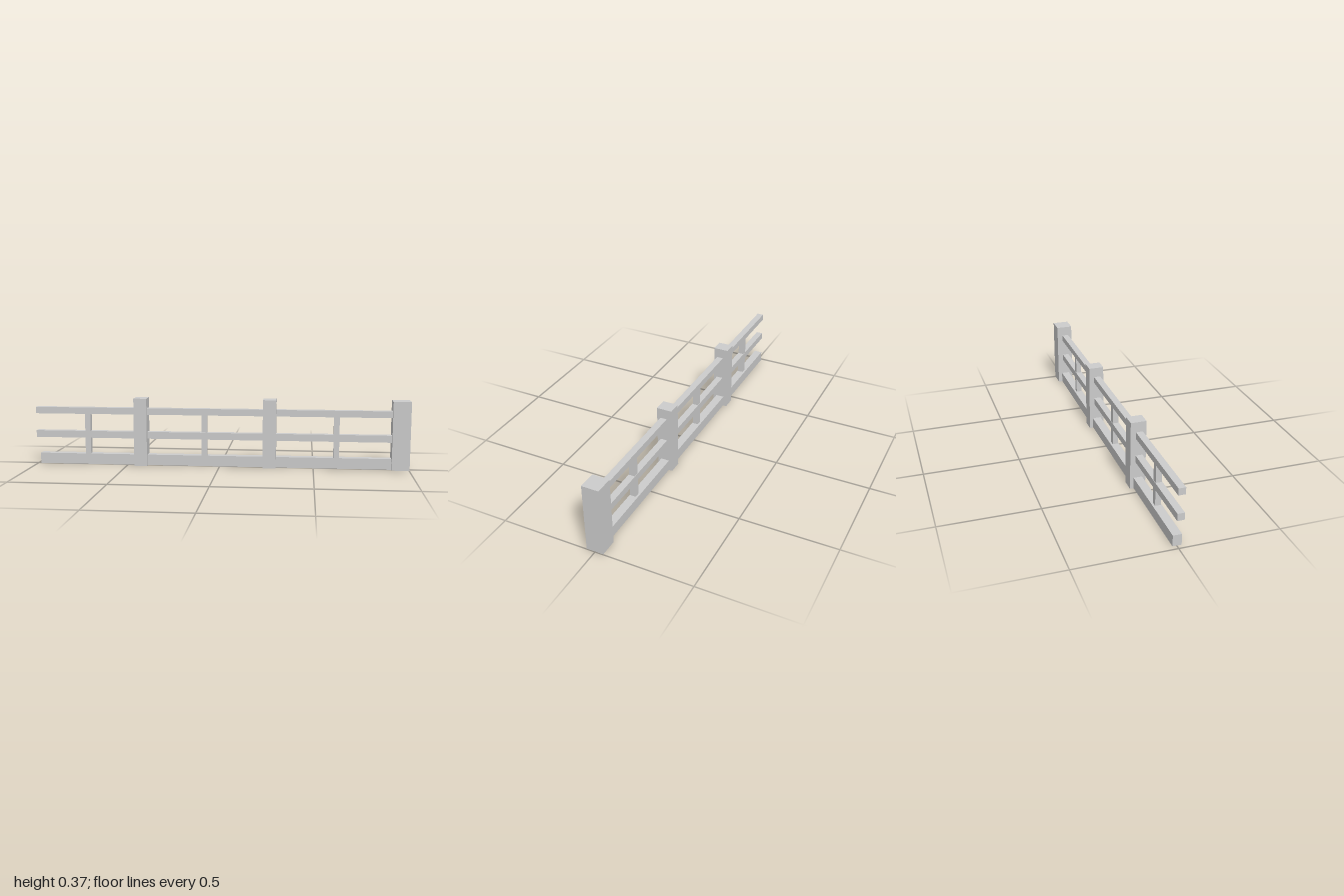
import * as THREE from 'three';

export function createModel() {
  const fence = new THREE.Group();
  fence.name = 'fence';
  const material = new THREE.MeshStandardMaterial({ color: 0xcccccc, flatShading: true });

  // Box given by its extents along each axis
  function addBeam(name, [x0, x1], [y0, y1], [z0, z1]) {
    const mesh = new THREE.Mesh(new THREE.BoxGeometry(x1 - x0, y1 - y0, z1 - z0), material);
    mesh.position.set((x0 + x1) / 2, (y0 + y1) / 2, (z0 + z1) / 2);
    mesh.name = name;
    fence.add(mesh);
  }

  // Posts: a thick end post and two slimmer intermediate ones
  addBeam('endPost', [0.907, 1], [0.003, 0.365], [-0.044, 0.044]);
  for (const x of [-0.424, 0.267]) {
    addBeam('middlePost', [x - 0.035, x + 0.035], [0, 0.365], [-0.04, 0.04]);
  }

  // Long rails, open at the left-hand end of the front
  addBeam('bottomRail', [-0.98, 0.92], [0.003, 0.06], [-0.022, 0.022]);
  addBeam('middleRail', [-1, 0.92], [0.147, 0.184], [-0.013, 0.022]);
  addBeam('topRail', [-1, 0.92], [0.277, 0.312], [-0.013, 0.022]);

  // Short uprights between the rails, one per bay
  for (const x of [-0.715, -0.081, 0.62]) {
    for (const span of [[0.06, 0.147], [0.184, 0.277]]) {
      addBeam('upright', [x - 0.015, x + 0.015], span, [-0.011, 0.019]);
    }
  }
  return fence;
}
